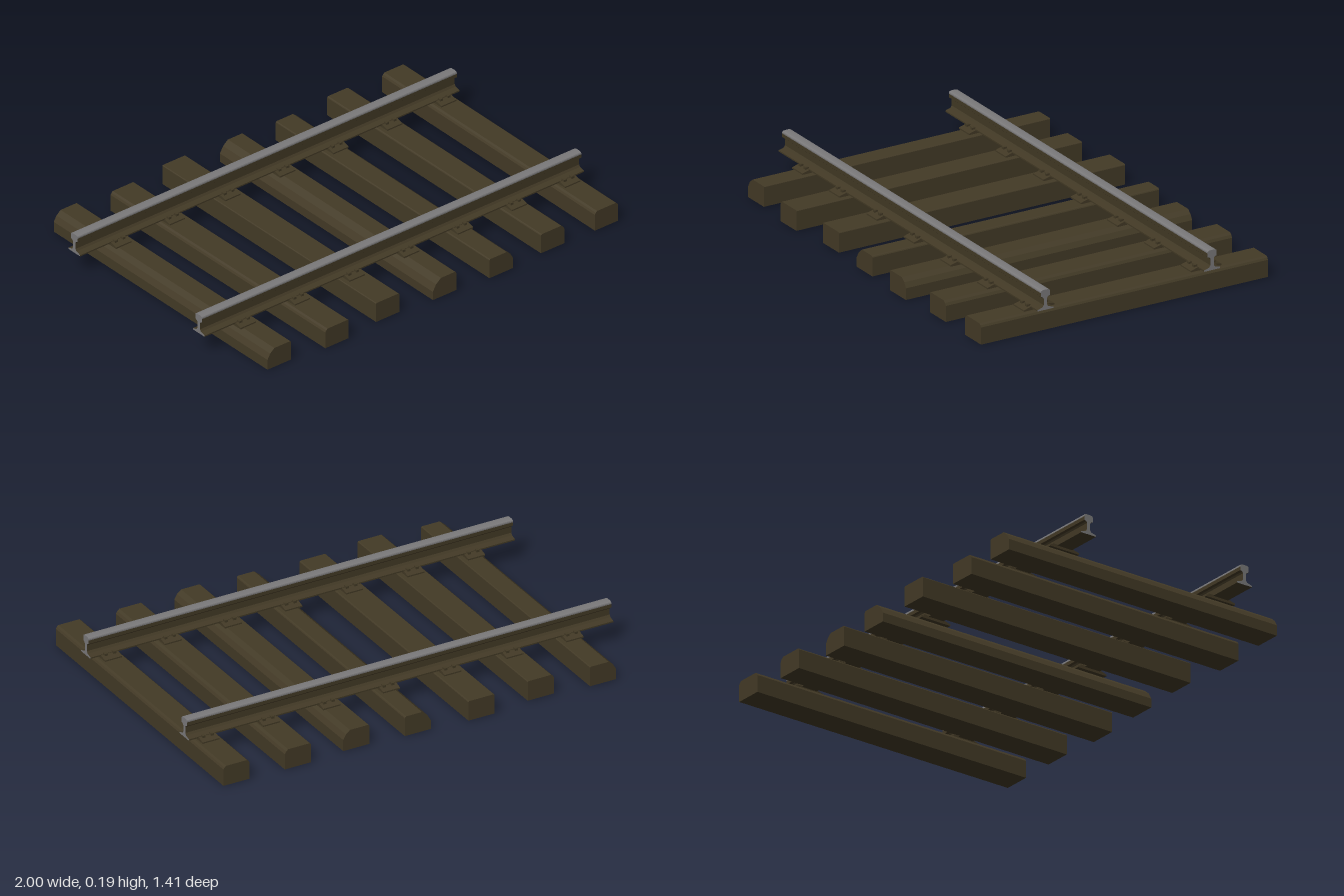
import * as THREE from 'three';

const wood = new THREE.MeshStandardMaterial({ color: 0x433a26 });
wood.name = 'weathered wood';
const rust = new THREE.MeshStandardMaterial({ color: 0x423925 });
rust.name = 'rusted iron';
const steel = new THREE.MeshStandardMaterial({ color: 0x7a797a });
steel.name = 'worn steel';

// Prism from an outline in (x, y), centred along z
function prism(points, length) {
  const shape = new THREE.Shape(points.map(([x, y]) => new THREE.Vector2(x, y)));
  const geo = new THREE.ExtrudeGeometry(shape, { depth: length, bevelEnabled: false });
  return geo.translate(0, 0, -length / 2);
}

// Closed symmetric outline from its right half, listed bottom to top
function symmetric(half) {
  return [...half, ...half.map(([x, y]) => [-x, y]).reverse()];
}

function add(parent, name, geometry, material, x = 0, y = 0, z = 0) {
  const mesh = new THREE.Mesh(geometry, material);
  mesh.name = name;
  mesh.position.set(x, y, z);
  parent.add(mesh);
  return mesh;
}

// Sleepers: centre x, centre z, left chamfer, right chamfer, yaw
const TIES = [
  [-0.799, -0.015, 0.036, 0.003, 0],
  [-0.515, 0.007, 0.012, 0.003, 0.004],
  [-0.224, -0.018, 0.003, 0.004, 0],
  [0.064, -0.001, 0.042, 0.006, -0.003],
  [0.347, 0.015, 0.004, 0.032, 0],
  [0.631, 0, 0.005, 0.016, 0],
  [0.914, 0.005, 0.012, 0.012, -0.004],
];

function makeTie([x, z, left, right, yaw]) {
  const w = 0.0615, h = 0.09;
  const outline = [
    [-w, 0], [w, 0], [w, h - right * 1.2], [w - right * 0.4, h - right * 0.5], [w - right, h],
    [left - w, h], [left * 0.4 - w, h - left * 0.5], [-w, h - left * 1.2],
  ];
  const tie = new THREE.Mesh(prism(outline, 1.374), wood);
  tie.name = 'sleeper';
  tie.position.set(x, 0, z);
  tie.rotation.y = yaw;
  return tie;
}

function makeRail() {
  const rail = new THREE.Group();
  rail.name = 'rail';
  // Foot, web and lower head: rusty flanks with bare steel ends
  const body = symmetric([
    [0.038, 0.1], [0.038, 0.106], [0.014, 0.113], [0.008, 0.122],
    [0.008, 0.15], [0.012, 0.157], [0.0215, 0.161], [0.0215, 0.177],
  ]);
  // Polished running surface
  const head = symmetric([
    [0.0215, 0.177], [0.0215, 0.182], [0.0195, 0.186], [0.015, 0.188], [0.006, 0.189],
  ]);
  add(rail, 'railBody', prism(body, 2).rotateY(Math.PI / 2), [steel, rust]);
  add(rail, 'railHead', prism(head, 2).rotateY(Math.PI / 2), steel);
  return rail;
}

function makeFastening() {
  const group = new THREE.Group();
  group.name = 'railFastening';
  // Sloped base plate
  const plate = symmetric([[0.0735, 0.089], [0.0735, 0.096], [0.044, 0.104]]);
  add(group, 'basePlate', prism(plate, 0.08).rotateY(Math.PI / 2), rust);
  // Spikes gripping both edges of the rail foot
  for (const side of [-1, 1]) {
    for (const dx of [-0.02, 0.02]) {
      add(group, 'spike', new THREE.BoxGeometry(0.014, 0.016, 0.016), rust, dx, 0.104, side * 0.043);
    }
  }
  return group;
}

export function createModel() {
  const model = new THREE.Group();
  model.name = 'trackSection';

  for (const tie of TIES) model.add(makeTie(tie));

  for (const z of [-0.4, 0.4]) {
    const rail = makeRail();
    rail.position.z = z;
    model.add(rail);
    for (const [x, , , , yaw] of TIES) {
      const fastening = makeFastening();
      fastening.position.set(x + z * yaw, 0, z);
      model.add(fastening);
    }
  }
  return model;
}
